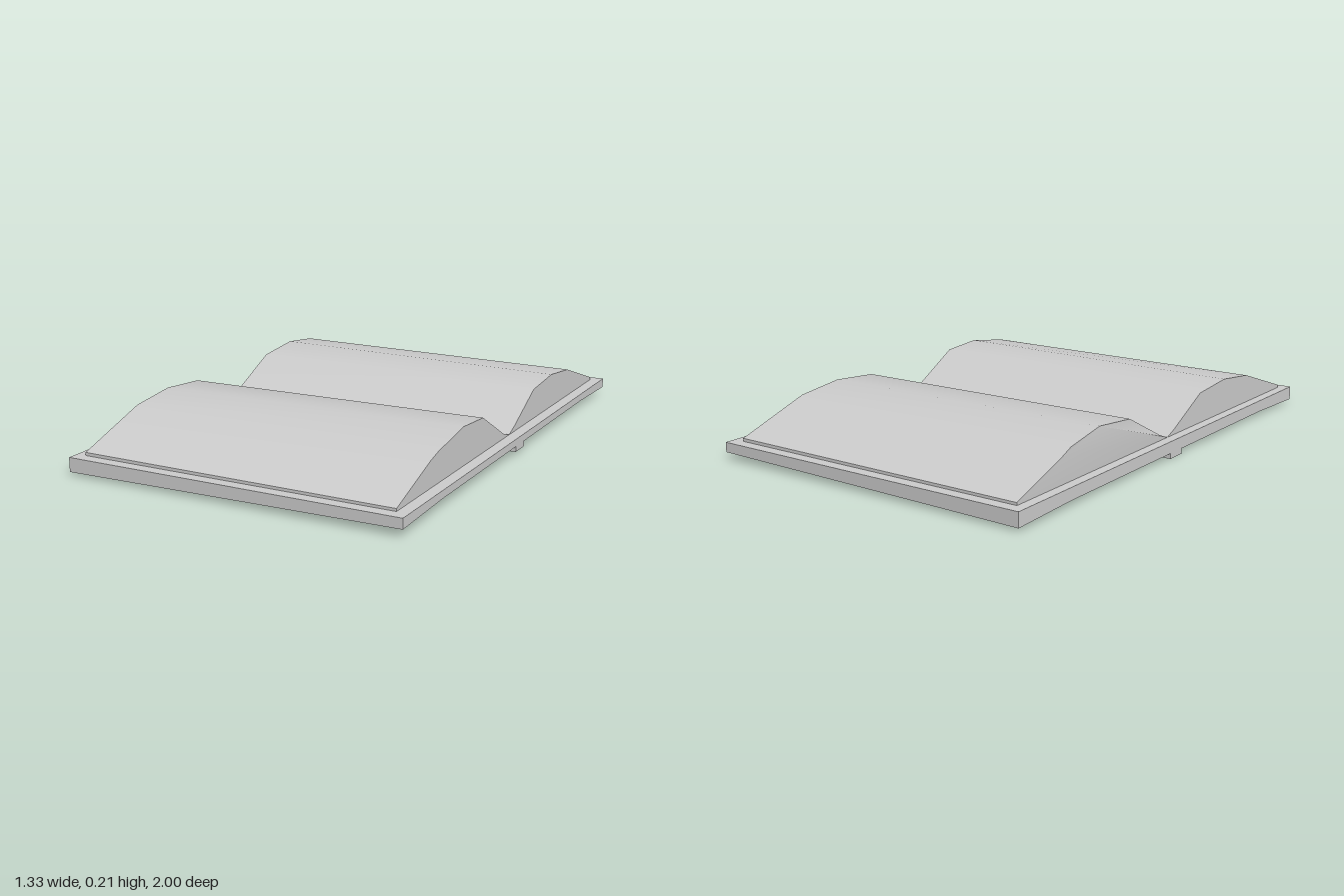
import * as THREE from 'three';
import { toCreasedNormals } from 'three/addons/utils/BufferGeometryUtils.js';

// Solid between two matching cross-sections of [z, y, optional x shift], with capped ends
function loft(x0, profile0, x1, profile1) {
  let a = profile0.slice(), b = profile1.slice();
  let flat = a.map(([z, y]) => new THREE.Vector2(z, y));
  if (THREE.ShapeUtils.isClockWise(flat)) {
    a.reverse(); b.reverse(); flat.reverse();
  }
  const flatB = b.map(([z, y]) => new THREE.Vector2(z, y));
  const pos = [];
  const A = (i) => pos.push(x0 + (a[i][2] || 0), a[i][1], a[i][0]);
  const B = (i) => pos.push(x1 + (b[i][2] || 0), b[i][1], b[i][0]);
  a.forEach((_, i) => {
    const j = (i + 1) % a.length;
    A(i); B(i); B(j);
    A(i); B(j); A(j);
  });
  for (const [p, q, r] of THREE.ShapeUtils.triangulateShape(flat, [])) { A(p); A(q); A(r); }
  for (const [p, q, r] of THREE.ShapeUtils.triangulateShape(flatB, [])) { B(p); B(r); B(q); }
  const geo = new THREE.BufferGeometry();
  geo.setAttribute('position', new THREE.Float32BufferAttribute(pos, 3));
  return toCreasedNormals(geo, 0.62);
}

export function createModel() {
  const group = new THREE.Group();
  const material = new THREE.MeshStandardMaterial({ color: 0xcccccc });
  const add = (name, geo) => {
    const mesh = new THREE.Mesh(geo, material);
    mesh.name = name;
    group.add(mesh);
  };

  const top = 0.067;

  // Cover with a spine rib beneath; its underside tilts along x
  const cover = (lift) => [
    [1, top], [1, 0.012 + lift], [0.7, 0.021 + lift], [0.042, 0.021 + lift],
    [0.042, lift], [-0.042, lift], [-0.042, 0.021 + lift],
    [-0.7, 0.021 + lift], [-1, 0.012 + lift], [-1, top],
  ];
  add('cover', loft(-0.667, cover(0), 0.667, cover(0.017)));

  // Page blocks: curved top from the outer edge to the gutter
  const section = (side, curve) =>
    [[0.955, top], ...curve, [0, top]].map(([z, y, dx]) => [side * z, y, dx]);

  const high = [[0.955, 0.077], [0.7, 0.165], [0.64, 0.18], [0.435, 0.212],
    [0.26, 0.2], [0.056, 0.085], [0.01, 0.071]];
  const low = [[0.955, 0.079], [0.7, 0.163], [0.645, 0.181], [0.45, 0.203],
    [0.25, 0.187], [0.05, 0.087], [0.01, 0.071]];
  // The rear block leans in slightly at its -x end
  const leaning = [[0.955, 0.077], [0.7, 0.165], [0.645, 0.185, 0.003], [0.45, 0.211, 0.014],
    [0.25, 0.192, 0.014], [0.05, 0.087, 0.004], [0.01, 0.071]];

  add('frontPages', loft(-0.628, section(1, low), 0.622, section(1, high)));
  add('backPages', loft(-0.628, section(-1, leaning), 0.622, section(-1, low)));

  return group;
}
